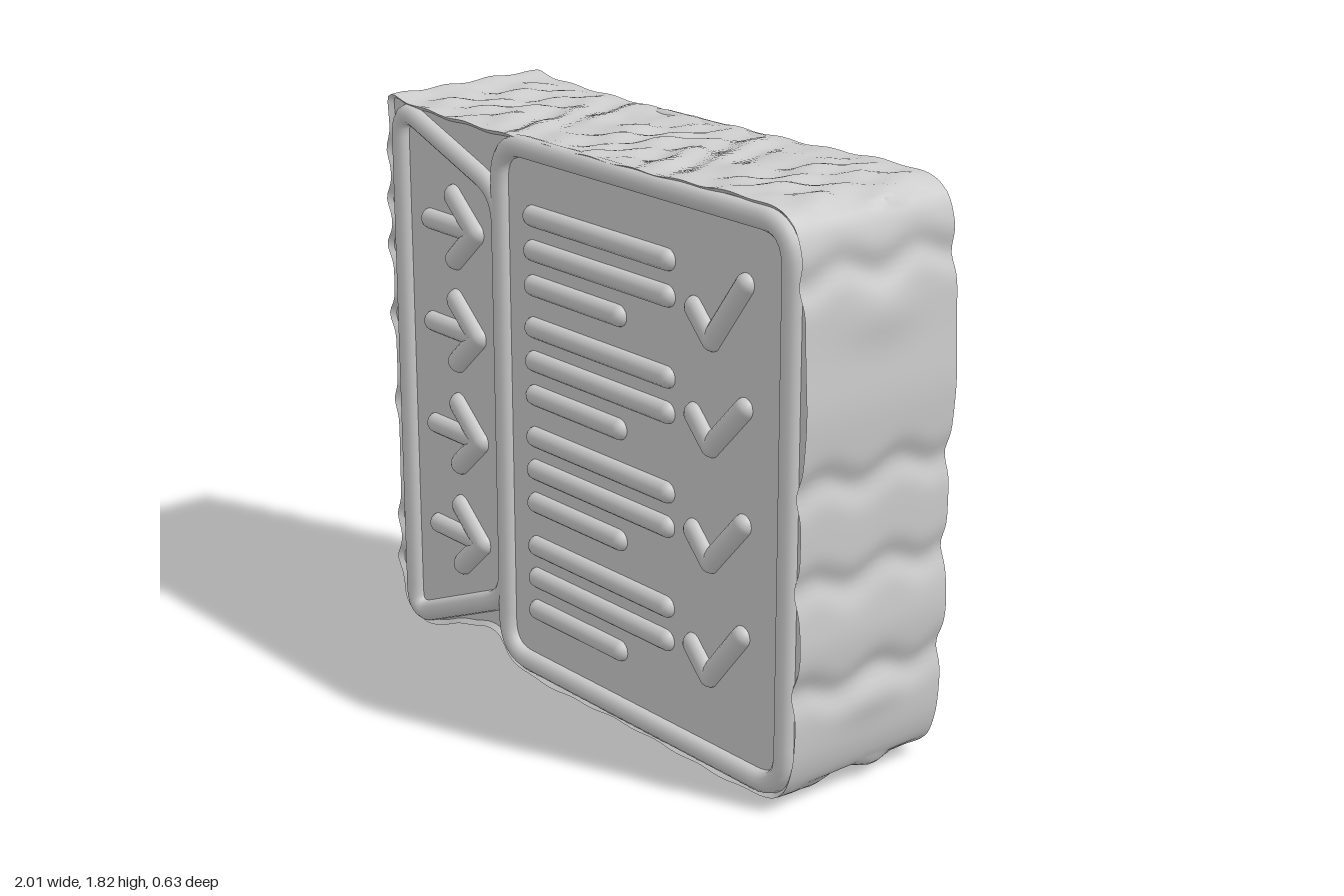
import * as THREE from 'three';
import { toCreasedNormals } from 'three/addons/utils/BufferGeometryUtils.js';

const FACE = 0.28; // depth of the flat faces
const EDGE = 0.296; // depth of the thin lip around the body
const material = new THREE.MeshStandardMaterial({ color: 0xcccccc });

function add(parent, name, geometry) {
  const mesh = new THREE.Mesh(geometry, material);
  mesh.name = name;
  parent.add(mesh);
  return mesh;
}

// Body outline, counter-clockwise from the top left
const OUTLINE = [
  [-0.965, 1.805], [-0.963, 1.7], [-0.965, 1.2], [-0.965, 0.7], [-0.965, 0.12], [-0.95, 0.06],
  [-0.85, 0.012], [-0.75, 0.035], [-0.6, 0.085], [-0.5, 0.11], [-0.43, 0.1], [-0.37, 0.045], [-0.27, 0.018],
  [0.2, 0.022], [0.84, 0.025], [0.92, 0.055], [0.965, 0.15], [0.98, 0.5], [0.985, 1.0],
  [0.985, 1.55], [0.965, 1.7], [0.93, 1.77], [0.86, 1.802], [0.3, 1.798], [-0.4, 1.79], [-0.85, 1.8], [-0.94, 1.812],
];

const bell = (d, w) => Math.exp(-(d * d) / (w * w));

// Weathering of the side walls: ridges on one end, wavy grooves on the other, shallow dents elsewhere
function weather(x, y, z, nx) {
  const inner = 1 - Math.pow(Math.abs(z) / EDGE, 4);
  let d = 0;
  if (nx < -0.7) {
    for (const r of [0.2, 0.35, 0.78, 1.06, 1.32, 1.47, 1.62]) {
      d += 0.034 * bell(y - r - 0.012 * Math.sin(z * 17 + r * 9), 0.042) * (0.75 + 0.25 * Math.cos(z * 22 + r * 5));
    }
  } else if (nx > 0.7) {
    for (const r of [0.37, 0.7, 1.0, 1.62]) d -= 0.022 * bell(y - r - 0.022 * Math.cos(z * 21 + r * 2), 0.05);
    d += 0.012 * (bell(y - 0.52, 0.1) + bell(y - 1.22, 0.14));
    d += 0.014 * inner * (bell(y - 0.3, 0.06) + bell(y - 1.48, 0.08)) * bell(z, 0.14);
  } else {
    const dents = Math.sin(x * 23 + 6 * z) * Math.sin(z * 27 + 4 * Math.sin(x * 9)) + 0.5 * Math.sin(x * 41 - z * 19);
    d += 0.009 * inner * dents + 0.003 * Math.sin(x * 31);
  }
  return d;
}

function buildBody(group) {
  const curve = new THREE.CatmullRomCurve3(
    OUTLINE.map(([x, y]) => new THREE.Vector3(x, y, 0)), true, 'centripetal');
  const n = 360, slices = 24;
  const base = [];
  for (let i = 0; i < n; i++) {
    const p = curve.getPointAt(i / n), t = curve.getTangentAt(i / n);
    base.push({ x: p.x, y: p.y, nx: t.y, ny: -t.x });
  }
  const ring = (z, inset) => base.map(({ x, y, nx, ny }) => {
    const d = weather(x, y, z, nx) - inset;
    return [x + nx * d, y + ny * d, z];
  });
  // Inner lip, wall slices, inner lip
  const rings = [ring(-EDGE, 0.014).map(([x, y]) => [x, y, -FACE])];
  for (let j = 0; j <= slices; j++) rings.push(ring(EDGE * (2 * j / slices - 1), 0));
  rings.push(ring(EDGE, 0.014).map(([x, y]) => [x, y, FACE]));

  const index = [];
  for (let j = 0; j < rings.length - 1; j++) {
    for (let i = 0; i < n; i++) {
      const k = (i + 1) % n, a = j * n + i, b = j * n + k;
      index.push(a, b, b + n, a, b + n, a + n);
    }
  }
  const wall = new THREE.BufferGeometry();
  wall.setAttribute('position', new THREE.Float32BufferAttribute(rings.flat(2), 3));
  wall.setIndex(index);
  add(group, 'bodyWall', toCreasedNormals(wall, 0.8));

  // Flat faces closing the body
  for (const s of [1, -1]) {
    const edge = s > 0 ? rings[rings.length - 1] : rings[0];
    const shape = new THREE.Shape(edge.map(([x, y]) => new THREE.Vector2(s * x, y)));
    const cap = add(group, s > 0 ? 'frontFace' : 'backFace', new THREE.ShapeGeometry(shape));
    cap.position.z = s * FACE;
    if (s < 0) cap.rotation.y = Math.PI;
  }
}

// Rounded bead that follows a polygon with softened corners
function beadGeometry(corners, radius) {
  const pts = corners.map(([x, y]) => new THREE.Vector2(x, y));
  const shape = new THREE.Shape();
  pts.forEach((p, i) => {
    const prev = pts[(i + pts.length - 1) % pts.length], next = pts[(i + 1) % pts.length];
    const a = prev.clone().sub(p).setLength(radius).add(p);
    const b = next.clone().sub(p).setLength(radius).add(p);
    if (i === 0) shape.moveTo(a.x, a.y);
    else shape.lineTo(a.x, a.y);
    shape.quadraticCurveTo(p.x, p.y, b.x, b.y);
  });
  shape.closePath();
  const path = shape.getSpacedPoints(160).slice(0, -1).map((p) => new THREE.Vector3(p.x, p.y, 0));
  return new THREE.TubeGeometry(new THREE.CatmullRomCurve3(path, true), 240, 0.035, 12, true);
}

// Raised round-ended stroke between two points
function stroke(parent, name, x1, y1, x2, y2, s, r = 0.035) {
  const dx = x2 - x1, dy = y2 - y1;
  const mesh = add(parent, name, new THREE.CapsuleGeometry(r, Math.hypot(dx, dy), 6, 14));
  mesh.position.set((x1 + x2) / 2, (y1 + y2) / 2, s * (FACE - 0.004));
  mesh.rotation.z = Math.atan2(-dx, dy);
}

function buildRelief(s) {
  const side = new THREE.Group();
  side.name = s > 0 ? 'frontRelief' : 'backRelief';

  // Borders of the large panel and the slanted panel beside it
  const large = [[-0.39, 0.063], [0.922, 0.063], [0.922, 1.762], [-0.39, 1.762]];
  const slanted = [[-0.912, 0.02], [-0.39, 0.245], [-0.39, 1.595], [-0.912, 1.785]];
  add(side, 'largePanelBorder', beadGeometry(large, 0.12)).position.z = s * FACE;
  add(side, 'slantedPanelBorder', beadGeometry(slanted, 0.1)).position.z = s * FACE;

  // Rows of two long bars and one short bar
  for (const y of [1.555, 1.2, 0.842, 0.475]) {
    stroke(side, 'longBar', -0.235, y, 0.395, y, s);
    stroke(side, 'longBar', -0.235, y - 0.109, 0.395, y - 0.109, s);
    stroke(side, 'shortBar', -0.235, y - 0.22, 0.175, y - 0.22, s);
  }
  // Arrows on the slanted panel
  for (const y of [1.438, 1.095, 0.745, 0.392]) {
    stroke(side, 'arrowShaft', -0.77, y, -0.53, y, s);
    stroke(side, 'arrowHead', -0.638, y + 0.1, -0.525, y, s, 0.038);
    stroke(side, 'arrowHead', -0.638, y - 0.105, -0.525, y, s, 0.038);
  }
  // Check marks: height of the low corner and of the tip
  for (const [low, tip] of [[1.36, 1.555], [1.04, 1.19], [0.68, 0.838], [0.315, 0.49]]) {
    stroke(side, 'checkShortArm', 0.515, low + 0.08, 0.59, low, s);
    stroke(side, 'checkLongArm', 0.59, low, 0.73, tip, s);
  }
  return side;
}

export function createModel() {
  const model = new THREE.Group();
  model.name = 'checklistBlock';
  buildBody(model);
  model.add(buildRelief(1), buildRelief(-1));
  return model;
}
